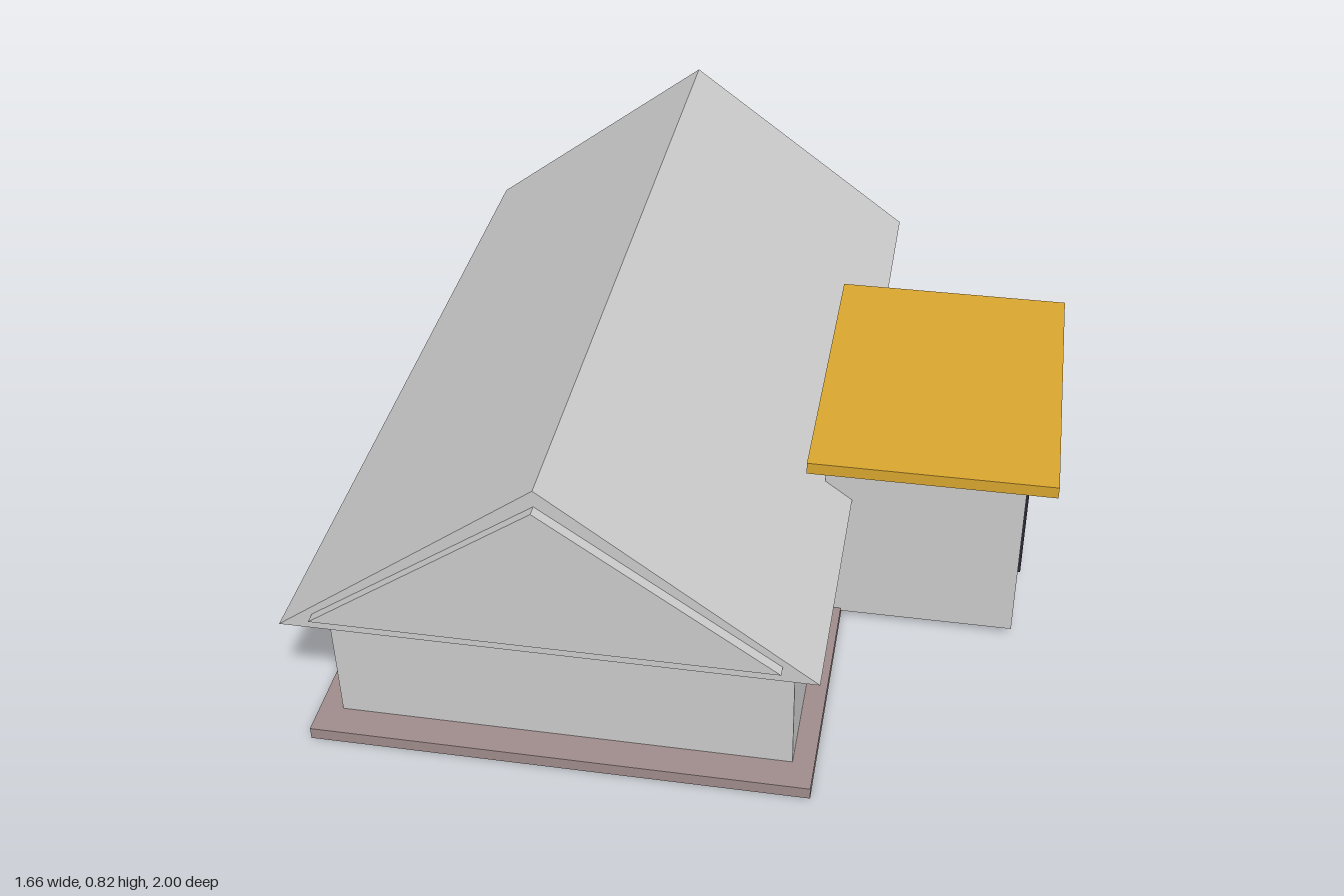
import * as THREE from 'three';

const material = (color) => new THREE.MeshStandardMaterial({ color });

export function createModel() {
  const house = new THREE.Group();
  house.name = 'house';
  const grey = material(0xcccccc);
  const stone = material(0xa08c8c);
  const gold = material(0xd9a630);
  const dark = material(0x2a2832);
  const ridgeX = -0.24;

  const add = (name, geometry, mat) => {
    const mesh = new THREE.Mesh(geometry, mat);
    mesh.name = name;
    house.add(mesh);
    return mesh;
  };

  // Box given by its extents along each axis
  const box = (name, mat, [x0, x1], [y0, y1], [z0, z1]) =>
    add(name, new THREE.BoxGeometry(x1 - x0, y1 - y0, z1 - z0), mat)
      .position.set((x0 + x1) / 2, (y0 + y1) / 2, (z0 + z1) / 2);

  // Triangular prism along z, centred under the ridge
  const prism = (name, mat, halfWidth, y0, y1, z0, z1) => {
    const shape = new THREE.Shape([
      new THREE.Vector2(-halfWidth, y0),
      new THREE.Vector2(halfWidth, y0),
      new THREE.Vector2(0, y1),
    ]);
    const geometry = new THREE.ExtrudeGeometry(shape, { depth: z1 - z0, bevelEnabled: false });
    add(name, geometry, mat).position.set(ridgeX, 0, z0);
  };

  // Main building
  box('foundation', stone, [-0.82, 0.34], [0, 0.03], [-0.95, 0.95]);
  box('walls', grey, [-0.765, 0.29], [0.03, 0.375], [-0.875, 0.875]);
  prism('roof', grey, 0.595, 0.375, 0.82, -0.975, 0.975);
  prism('frontGable', grey, 0.515, 0.415, 0.78, 0.96, 1);
  prism('backGable', grey, 0.515, 0.415, 0.78, -1, -0.96);

  // Trim band and two windows on each long side
  for (const [side, x] of [['left', [0.275, 0.305]], ['right', [-0.78, -0.75]]]) {
    box(`${side}TrimBand`, gold, x, [0.28, 0.335], [-0.85, 0.85]);
    box(`${side}FrontWindow`, dark, x, [0.107, 0.224], [0.31, 0.62]);
    box(`${side}BackWindow`, dark, x, [0.107, 0.224], [-0.62, -0.31]);
  }

  // Entrance block with door and flat canopy
  box('entranceBlock', grey, [0.29, 0.76], [0.022, 0.47], [-0.345, 0.345]);
  box('door', dark, [0.745, 0.775], [0.024, 0.43], [-0.13, 0.13]);
  box('canopy', gold, [0.25, 0.83], [0.48, 0.51], [-0.395, 0.395]);

  return house;
}
